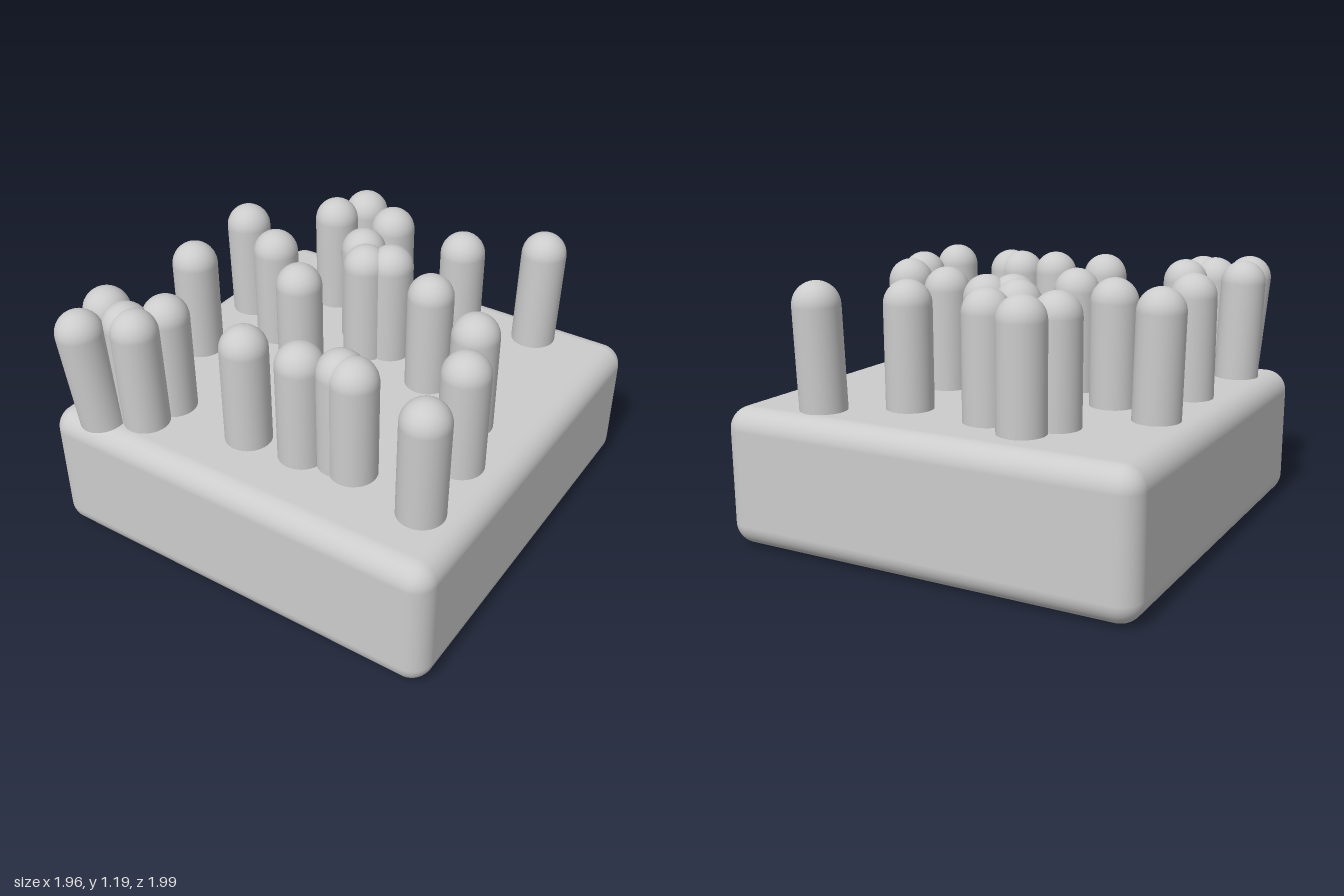
import * as THREE from 'three';
import { mergeGeometries } from 'three/addons/utils/BufferGeometryUtils.js';
import { RoundedBoxGeometry } from 'three/addons/geometries/RoundedBoxGeometry.js';

const RADIUS = 0.105, BASE_Y = 0.625, TOP_Y = 1.19;

// Each peg: x and z of its domed tip, then the x and z offset of its foot when it leans.
const PEGS = [
  [-0.37, -0.74], [-0.45, -0.59], [-0.16, -0.65], [0.25, -0.61],
  [0.57, -0.82, -0.005, 0.015], [-0.16, -0.385], [-0.065, -0.255], [0.035, -0.315],
  [-0.775, -0.295, 0.01, 0], [-0.5, -0.145], [0.325, -0.18], [0.645, 0],
  [-0.22, 0.06], [-0.745, 0.155], [0.75, 0.275], [-0.11, 0.61],
  [0.155, 0.585], [0.325, 0.54], [0.4, 0.56], [0.775, 0.64, -0.008, -0.01],
  [-0.54, 0.6], [-0.8, 0.685, 0.013, -0.01], [-0.64, 0.74], [-0.57, 0.765, 0.008, -0.005],
  [-0.765, 0.89, 0.032, -0.035],
];

// Round peg with a flat foot at y = 0 and a hemispherical tip.
function pegGeometry(length) {
  const profile = [new THREE.Vector2(RADIUS, 0)];
  for (let i = 0; i <= 12; i++) {
    const a = (i / 12) * Math.PI / 2;
    profile.push(new THREE.Vector2(RADIUS * Math.cos(a), length - RADIUS + RADIUS * Math.sin(a)));
  }
  const foot = new THREE.CircleGeometry(RADIUS, 32).rotateX(Math.PI / 2);
  return mergeGeometries([new THREE.LatheGeometry(profile, 32), foot]);
}

export function createModel() {
  const group = new THREE.Group();
  const material = new THREE.MeshStandardMaterial({ color: 0xcccccc });

  // Rounded block
  const block = new THREE.Mesh(new RoundedBoxGeometry(1.96, 0.63, 1.96, 6, 0.1), material);
  block.name = 'block';
  block.position.set(0, 0.315, -0.02);
  group.add(block);

  // Scattered pegs, a few leaning outwards
  const geometry = pegGeometry(TOP_Y - BASE_Y);
  const up = new THREE.Vector3(0, 1, 0);
  PEGS.forEach(([x, z, dx = 0, dz = 0], i) => {
    const peg = new THREE.Mesh(geometry, material);
    peg.name = `peg${i + 1}`;
    peg.position.set(x + dx, BASE_Y, z + dz);
    const axis = new THREE.Vector3(-dx, TOP_Y - RADIUS - BASE_Y, -dz).normalize();
    peg.quaternion.setFromUnitVectors(up, axis);
    group.add(peg);
  });
  return group;
}
